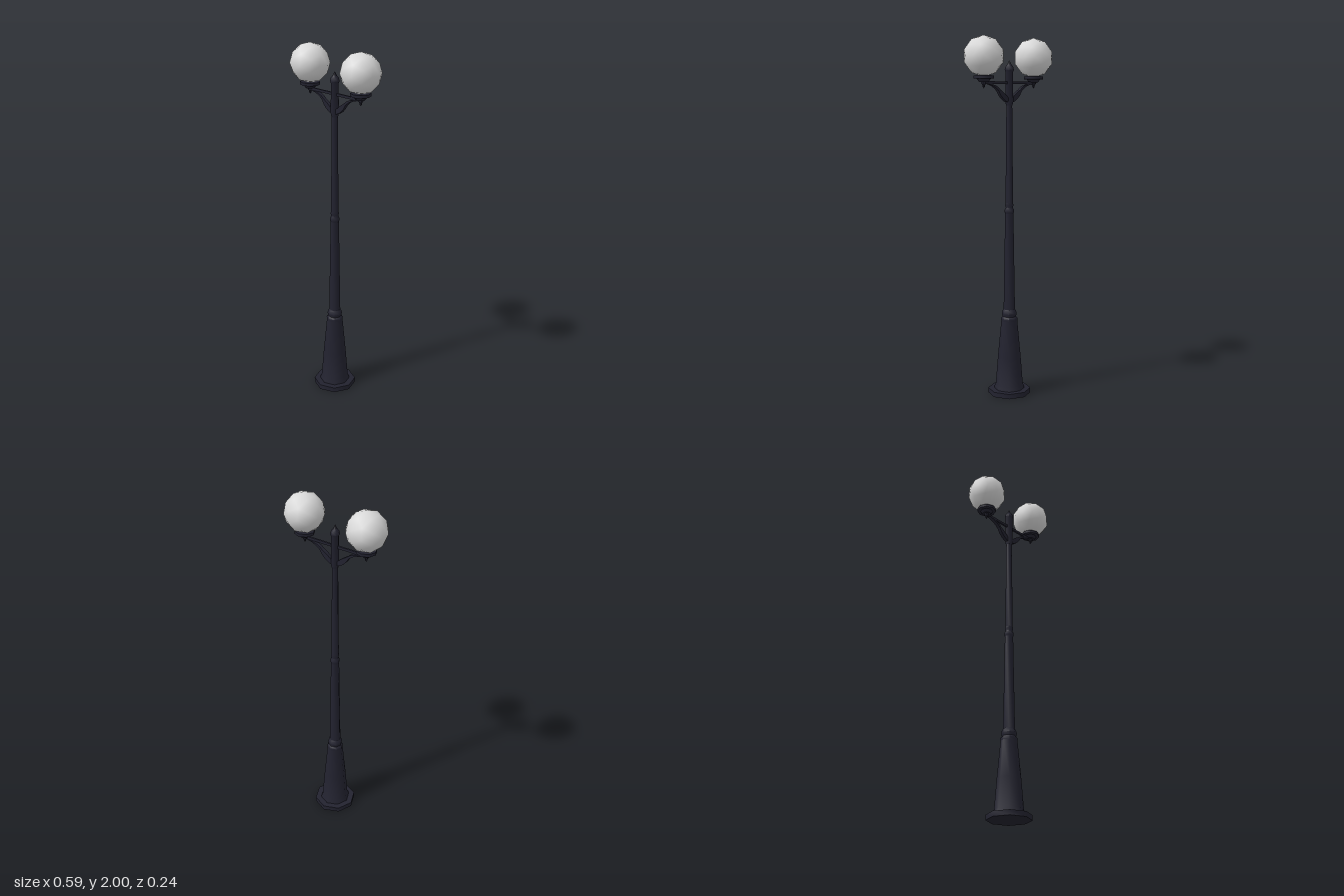
import * as THREE from 'three';
import { toCreasedNormals } from 'three/addons/utils/BufferGeometryUtils.js';

export function createModel() {
  const model = new THREE.Group();
  model.name = 'streetLamp';
  const iron = new THREE.MeshStandardMaterial({ color: 0x22222f });
  iron.name = 'dark iron';
  const glass = new THREE.MeshStandardMaterial({ color: 0xdadada });
  glass.name = 'frosted glass';

  const add = (name, geometry, material, parent = model) => {
    const mesh = new THREE.Mesh(geometry, material);
    mesh.name = name;
    parent.add(mesh);
    return mesh;
  };
  // Eight-sided turned part from [radius, height] pairs, listed upwards
  const turned = (name, profile, parent = model, sides = 8) => {
    const lathe = new THREE.LatheGeometry(profile.map(([r, y]) => new THREE.Vector2(r, y)), sides);
    return add(name, toCreasedNormals(lathe, 0.9), iron, parent);
  };

  // Column, from the ground up
  turned('basePlate', [[0, 0], [0.12, 0], [0.12, 0.028], [0, 0.028]]);
  turned('pedestal', [[0.086, 0.026], [0.084, 0.04], [0.077, 0.055], [0.064, 0.22],
    [0.045, 0.425], [0, 0.425]]);
  turned('pedestalCollar', [[0, 0.42], [0.045, 0.42], [0.047, 0.438], [0.038, 0.448],
    [0.042, 0.465], [0.038, 0.48], [0.03, 0.492], [0, 0.492]]);
  turned('lowerPole', [[0.032, 0.485], [0.023, 1.04]]);
  turned('middleCollar', [[0.022, 1.03], [0.026, 1.042], [0.026, 1.056], [0.019, 1.068],
    [0.023, 1.08], [0.02, 1.1]]);
  turned('upperPole', [[0.021, 1.09], [0.016, 1.64]]);
  turned('poleHead', [[0, 1.63], [0.017, 1.63], [0.022, 1.65], [0.02, 1.81], [0.025, 1.822],
    [0.022, 1.838], [0.009, 1.855], [0, 1.876]]);

  // Crossbar carrying both lamps
  add('crossbar', new THREE.BoxGeometry(0.38, 0.014, 0.01), iron).position.y = 1.753;

  // Leaf-shaped brace, thick in the middle and pointed at the outer end
  const leaf = new THREE.Shape();
  leaf.moveTo(0.008, 1.645);
  leaf.quadraticCurveTo(0.06, 1.655, 0.088, 1.708);
  leaf.quadraticCurveTo(0.115, 1.737, 0.168, 1.746);
  leaf.quadraticCurveTo(0.105, 1.748, 0.075, 1.715);
  leaf.quadraticCurveTo(0.045, 1.7, 0.008, 1.665);
  const leafGeometry = new THREE.ExtrudeGeometry(leaf, { depth: 0.02, bevelEnabled: false, curveSegments: 4 });
  leafGeometry.translate(0, 0, -0.01);

  for (const side of [1, -1]) {
    const lamp = new THREE.Group();
    lamp.name = side > 0 ? 'leftLamp' : 'rightLamp';
    lamp.rotation.y = side > 0 ? 0 : Math.PI;
    model.add(lamp);
    add('brace', leafGeometry, iron, lamp);

    const holder = new THREE.Group();
    holder.name = 'holder';
    holder.position.x = 0.19;
    lamp.add(holder);
    // Dish under the globe
    turned('dish', [[0, 1.755], [0.025, 1.755], [0.036, 1.772], [0.054, 1.774],
      [0.054, 1.79], [0, 1.79]], holder);
    // Drop finial below the crossbar
    turned('pendant', [[0, 1.722], [0.007, 1.732], [0.006, 1.738], [0.014, 1.748],
      [0.014, 1.762]], holder, 6);

    // Faceted globe with smooth shading
    const globe = add('globe', new THREE.IcosahedronGeometry(0.109, 1), glass, holder);
    globe.position.y = 1.892;
    globe.rotation.y = 0.3;
  }
  return model;
}
